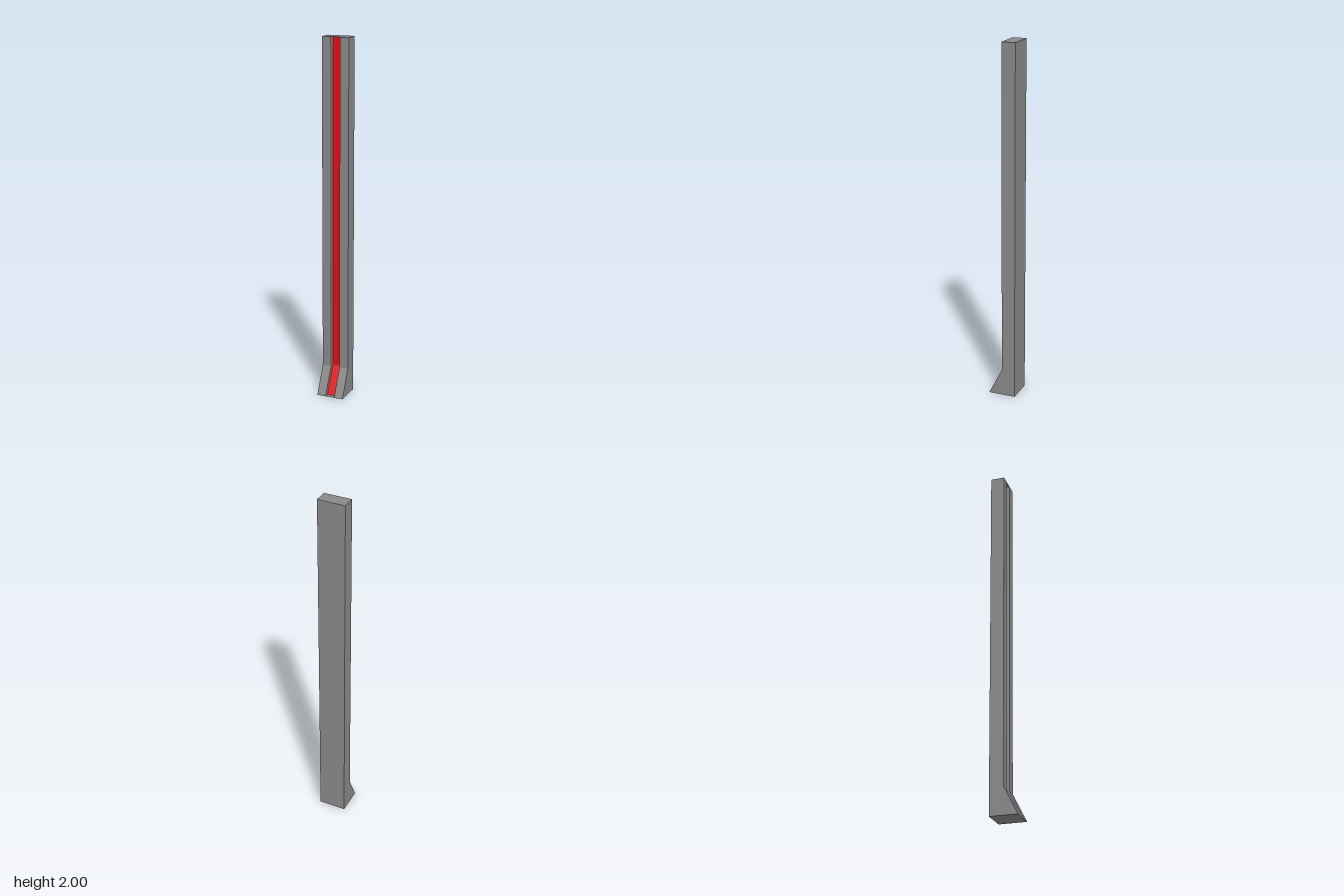
import * as THREE from 'three';

const HALF = 0.077;   // half width and half depth
const SLOT = 0.026;   // half width and depth of the groove
const FOOT = 0.154;   // height of the flared foot
const TOP = 2;

// Profile points are [z, y]
const front = [[HALF, 0], [0, FOOT], [0, TOP]];
const recess = front.map(([z, y]) => [z - SLOT, y]);
const shell = [[0, TOP], [-HALF, TOP], [-HALF, 0], [HALF, 0]];

const grey = new THREE.MeshStandardMaterial({ color: 0x888888, flatShading: true, side: THREE.DoubleSide });
const red = new THREE.MeshStandardMaterial({ color: 0xe60a12, flatShading: true, side: THREE.DoubleSide });

// Folded band spanning x0..x1 that follows a profile
function band(path, x0, x1) {
  const v = [];
  for (let i = 0; i < path.length - 1; i++) {
    const [za, ya] = path[i], [zb, yb] = path[i + 1];
    v.push(x0, ya, za, x1, ya, za, x1, yb, zb);
    v.push(x0, ya, za, x1, yb, zb, x0, yb, zb);
  }
  const g = new THREE.BufferGeometry();
  g.setAttribute('position', new THREE.Float32BufferAttribute(v, 3));
  g.computeVertexNormals();
  return g;
}

// Flat upright wall at x, facing +x or -x
function wall(points, x, facing) {
  const g = new THREE.ShapeGeometry(
    new THREE.Shape(points.map(([z, y]) => new THREE.Vector2(-facing * z, y))));
  return g.rotateY(facing * Math.PI / 2).translate(x, 0, 0);
}

export function createModel() {
  const model = new THREE.Group();
  const add = (name, geometry, material = grey) => {
    const mesh = new THREE.Mesh(geometry, material);
    mesh.name = name;
    model.add(mesh);
  };

  // Top cap, back and underside in one folded sheet
  add('backShell', band(shell, -HALF, HALF));

  // Outer sides, front rails and groove walls
  const sideOutline = [...front, [-HALF, TOP], [-HALF, 0]];
  const grooveOutline = [...front, ...[...recess].reverse()];
  for (const [label, s] of [['left', 1], ['right', -1]]) {
    add(label + 'Side', wall(sideOutline, s * HALF, s));
    add(label + 'GrooveWall', wall(grooveOutline, s * SLOT, -s));
    add(label + 'FrontRail', band(front, s > 0 ? SLOT : -HALF, s > 0 ? HALF : -SLOT));
  }

  // Red strip at the bottom of the groove
  add('grooveStrip', band(recess, -SLOT, SLOT), red);
  return model;
}
